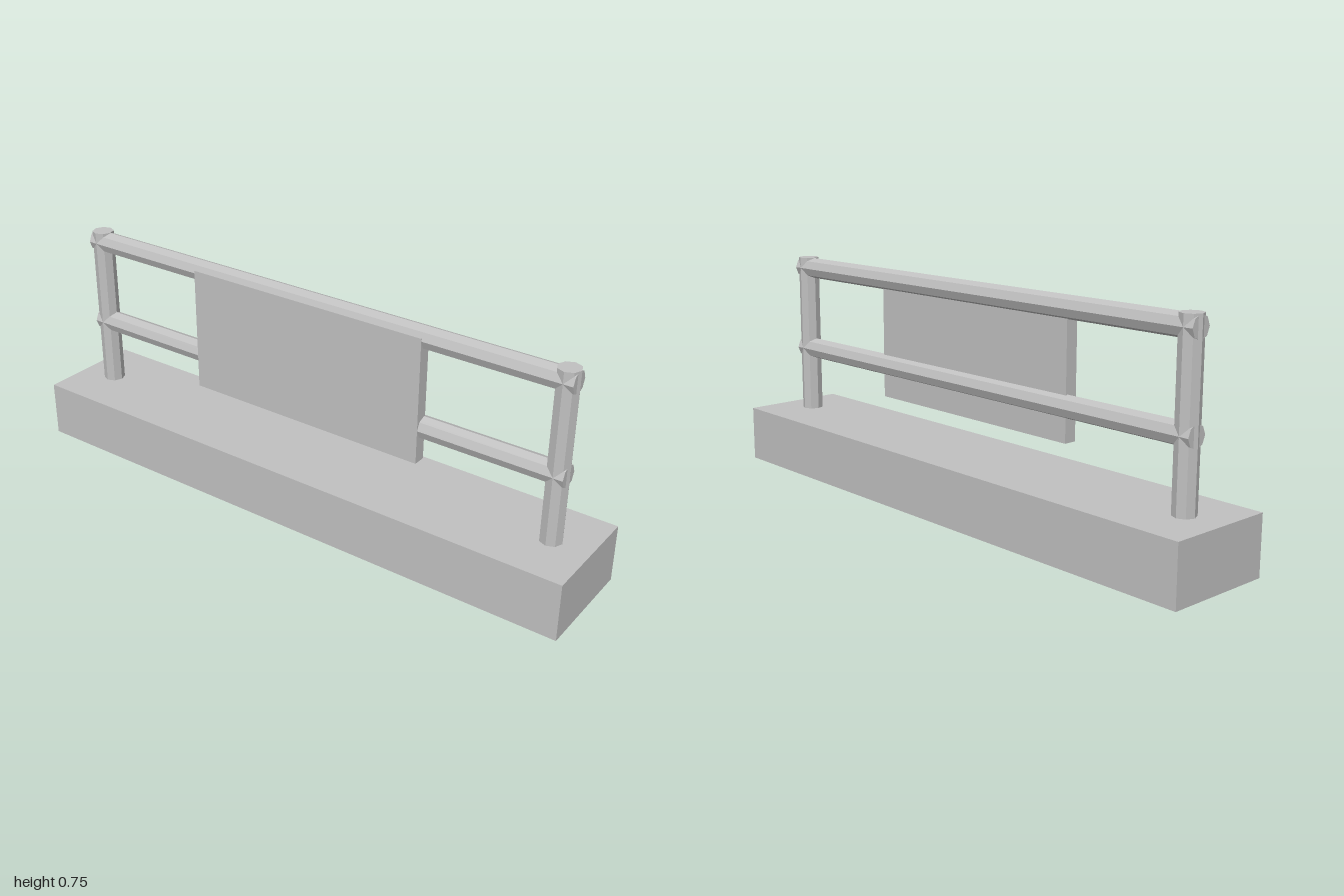
import * as THREE from 'three';

export function createModel() {
  const model = new THREE.Group();
  model.name = 'barrier';
  const grey = new THREE.MeshStandardMaterial({ color: 0xc0c0c0, flatShading: true });
  grey.name = 'plain grey';

  const add = (name, geometry, x, y, z) => {
    const mesh = new THREE.Mesh(geometry, grey);
    mesh.name = name;
    mesh.position.set(x, y, z);
    model.add(mesh);
    return mesh;
  };

  const radius = 0.036;
  const baseTop = 0.19;
  const postTop = 0.747;

  // Solid plinth
  add('base', new THREE.BoxGeometry(2, baseTop, 0.362), 0, baseTop / 2, 0);

  // Eight-sided uprights, sunk slightly into the plinth
  const postBottom = baseTop - 0.01;
  for (const side of [1, -1]) {
    add(side > 0 ? 'leftPost' : 'rightPost',
      new THREE.CylinderGeometry(radius, radius, postTop - postBottom, 8),
      side * 0.874, (postTop + postBottom) / 2, 0);
  }

  // Eight-sided rails running through the posts
  for (const [name, y] of [['topRail', 0.71], ['middleRail', 0.416]]) {
    add(name, new THREE.CylinderGeometry(radius, radius, 1.81, 8), 0, y, 0).rotation.z = Math.PI / 2;
  }

  // Sign board set against the front of the rails
  add('signPanel', new THREE.BoxGeometry(0.86, 0.415, 0.042), 0, 0.5115, 0.0155);

  return model;
}
